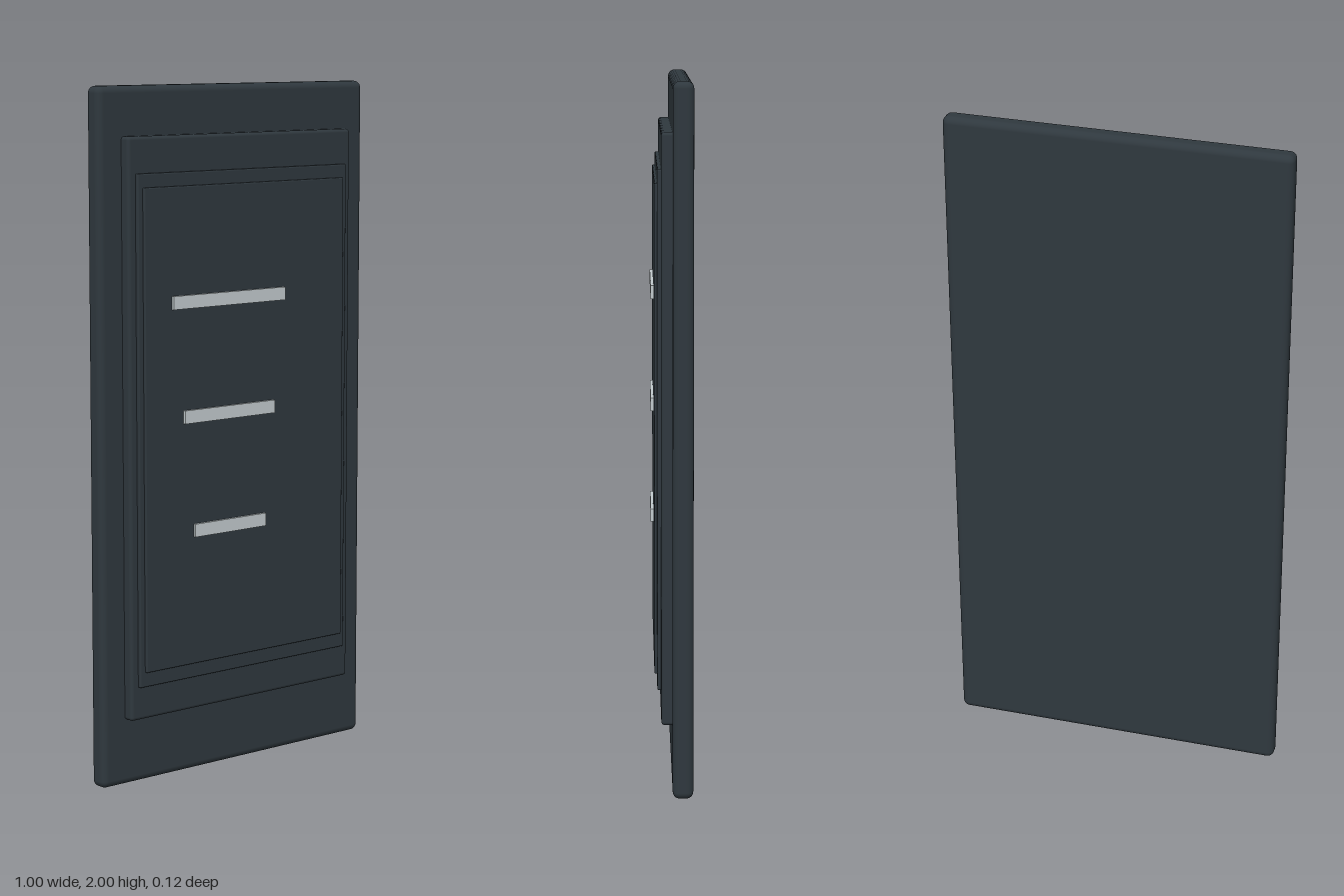
import * as THREE from 'three';
import { RoundedBoxGeometry } from 'three/addons/geometries/RoundedBoxGeometry.js';

const darkSlate = new THREE.MeshStandardMaterial({ name: 'darkSlate', color: 0x2f383e });
const paleGrey = new THREE.MeshStandardMaterial({ name: 'paleGrey', color: 0xc3cbce });

// Box given by its extents on each axis, rounded when a radius is set
function slab(name, [x0, x1], [y0, y1], [z0, z1], radius, material) {
  const size = [x1 - x0, y1 - y0, z1 - z0];
  const geometry = radius
    ? new RoundedBoxGeometry(...size, 3, radius)
    : new THREE.BoxGeometry(...size);
  const mesh = new THREE.Mesh(geometry, material);
  mesh.name = name;
  mesh.position.set((x0 + x1) / 2, (y0 + y1) / 2, (z0 + z1) / 2);
  return mesh;
}

export function createModel() {
  const model = new THREE.Group();
  model.name = 'wallPanel';

  // Stacked plates, each smaller than the one behind it
  model.add(
    slab('backPanel', [-0.5, 0.5], [0, 2], [-0.058, 0], 0.02, darkSlate),
    slab('raisedPlate', [-0.42, 0.42], [0.193, 1.86], [-0.02, 0.031], 0.01, darkSlate),
    slab('innerFrame', [-0.395, 0.395], [0.29, 1.757], [0.02, 0.042], 0.004, darkSlate),
    slab('screen', [-0.378, 0.378], [0.333, 1.718], [0.03, 0.05], 0.004, darkSlate)
  );

  // Three light bars, shorter towards the bottom
  const bars = [
    [-0.28, 0.14, 1.39],
    [-0.24, 0.1, 1.06],
    [-0.203, 0.067, 0.727],
  ];
  bars.forEach(([x0, x1, y], i) => {
    model.add(slab(`lightBar${i + 1}`, [x0, x1], [y - 0.019, y + 0.019], [0.0495, 0.058], 0, paleGrey));
  });

  return model;
}
